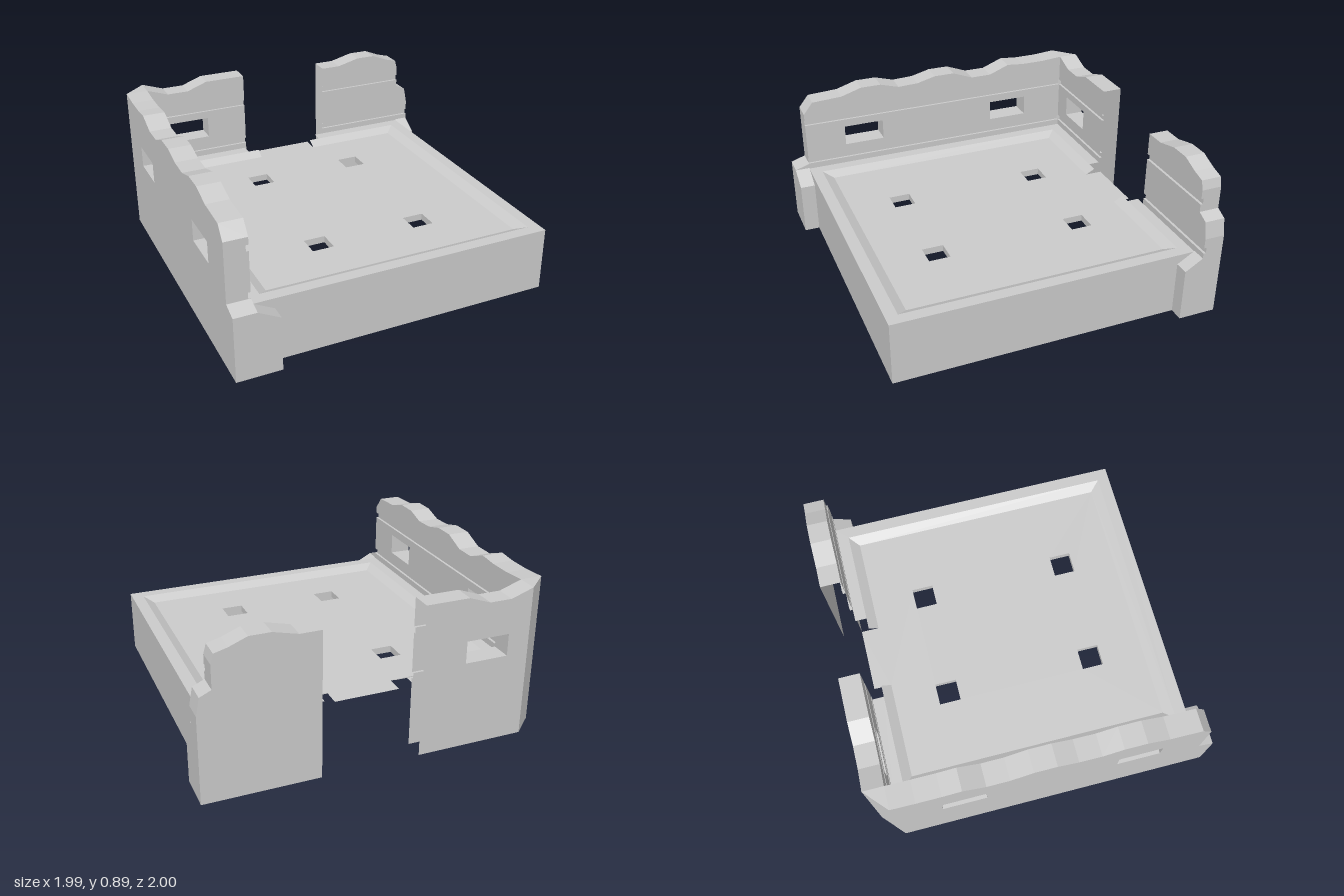
import * as THREE from 'three';
import { mergeGeometries } from 'three/addons/utils/BufferGeometryUtils.js';

const material = new THREE.MeshStandardMaterial({
  color: 0xcccccc, flatShading: true, side: THREE.DoubleSide,
});

// Each surface is drawn in (u, v, d) and placed by a map to [x, y, z].
const onBack = (u, v, d) => [u, v, -1 + d];
const onLeft = (u, v, d) => [-1 + d, v, u];
const onPlan = (u, v, d) => [u, d, v];

function place(positions, map) {
  const geo = new THREE.BufferGeometry();
  const out = [];
  for (let i = 0; i < positions.length; i += 3) {
    out.push(...map(positions[i], positions[i + 1], positions[i + 2]));
  }
  geo.setAttribute('position', new THREE.Float32BufferAttribute(out, 3));
  geo.computeVertexNormals();
  return geo;
}

// Flat outline with optional holes at depth d
function sheet(points, d, map, holes = []) {
  const toVec = (p) => new THREE.Vector2(p[0], p[1]);
  const shape = new THREE.Shape(points.map(toVec));
  for (const h of holes) shape.holes.push(new THREE.Path(h.map(toVec)));
  const pos = new THREE.ShapeGeometry(shape).toNonIndexed().attributes.position.array.slice();
  for (let i = 2; i < pos.length; i += 3) pos[i] = d;
  return place(pos, map);
}

// Strip of quads between path a at depth da and path b at depth db
function loft(a, da, b, db, map) {
  const pos = [];
  for (let i = 0; i + 1 < a.length; i++) {
    const p = [...a[i], da], q = [...a[i + 1], da];
    const r = [...b[i + 1], db], s = [...b[i], db];
    pos.push(...p, ...q, ...r, ...p, ...r, ...s);
  }
  return place(pos, map);
}
const ribbon = (path, d0, d1, map) => loft(path, d0, path, d1, map);
const closed = (path) => [...path, path[0]];
const rect = (u0, u1, v0, v1) => [[u0, v0], [u1, v0], [u1, v1], [u0, v1]];

// Part of an outline or segment between two heights
function clip(points, low, high) {
  for (const [level, sign] of [[low, 1], [high, -1]]) {
    const out = [];
    points.forEach((p, i) => {
      const q = points[(i + 1) % points.length];
      const a = (p[1] - level) * sign, b = (q[1] - level) * sign;
      if (a >= 0) out.push(p);
      if (a * b < 0) out.push([p[0] + (q[0] - p[0]) * a / (a - b), level]);
    });
    points = out;
  }
  return points;
}

function part(name, pieces) {
  const mesh = new THREE.Mesh(mergeGeometries(pieces), material);
  mesh.name = name;
  return mesh;
}

// Hollow ruined wall: outer face, grooved inner face, broken edge, window reveals.
// Below the floor the inner face only runs as far as u = reach.
function wall(name, edge, reach, windows, thick, map) {
  const start = edge[0][0], last = edge[edge.length - 1];
  const outline = [[start, 0], ...edge];
  if (last[1] > 0) outline.push([last[0], 0]);
  const groove = 0.015, foot = 0.385;
  const pieces = [
    sheet(outline, 0, map, windows),
    sheet(rect(start, reach, 0, foot), thick, map),
  ];
  const levels = [foot, 0.417, 0.452, 0.687, 0.722, 1];
  for (let i = 0; i < 5; i++) {
    const low = levels[i], high = levels[i + 1];
    const band = clip(outline, low, high);
    const depth = i % 2 ? thick - groove : thick;
    pieces.push(sheet(band, depth, map, i === 2 ? windows : []));
    if (i % 2) {
      const us = band.map((p) => p[0]);
      const u0 = Math.min(...us), u1 = Math.max(...us);
      for (const y of [low, high]) {
        pieces.push(ribbon([[u0, y], [u1, y]], depth, thick, map));
      }
    }
    // Broken edge, notched where the grooves meet it
    for (let k = 0; k + 1 < edge.length; k++) {
      const piece = clip([edge[k], edge[k + 1]], low, high);
      if (piece.length > 1) pieces.push(ribbon(piece.slice(0, 2), 0, depth, map));
    }
  }
  if (last[1] === 0) pieces.push(ribbon([[last[0], 0], [last[0], foot]], 0, thick, map));
  // Window sill and sides
  for (const w of windows) pieces.push(ribbon([w[3], w[0], w[1], w[2]], 0, thick, map));
  return part(name, pieces);
}

// Short chamfered stub at the free end of a wall
function stub(name, width, depth, map) {
  const profile = [[0, 0], [width, 0], [width, 0.32], [0, 0.385]];
  return part(name, [sheet(profile, 0, map), ribbon(profile.slice(1), 0, -depth, map)]);
}

export function createModel() {
  const group = new THREE.Group();

  // Ruined walls
  group.add(wall('sideWall', [
    [-0.88, 0.89], [-0.74, 0.88], [-0.6, 0.88], [-0.49, 0.89], [-0.36, 0.84], [-0.23, 0.84],
    [-0.1, 0.89], [0.03, 0.89], [0.15, 0.86], [0.28, 0.855], [0.4, 0.89], [0.53, 0.89],
    [0.66, 0.85], [0.85, 0.84], [0.91, 0.765], [0.91, 0.415], [1, 0.385], [1, 0],
  ], 0.91, [rect(0.4, 0.655, 0.51, 0.637), rect(-0.615, -0.36, 0.51, 0.637)], 0.13, onLeft));
  group.add(wall('backWallLong', [
    [-0.87, 0.89], [-0.74, 0.845], [-0.61, 0.845], [-0.485, 0.89], [-0.232, 0.89],
  ], -0.232, [rect(-0.742, -0.488, 0.51, 0.64)], 0.12, onBack));
  group.add(wall('backWallShort', [
    [0.337, 0.855], [0.46, 0.855], [0.6, 0.89], [0.72, 0.89], [0.82, 0.85], [0.895, 0.83],
    [0.91, 0.775], [0.91, 0.64], [0.975, 0.61], [0.994, 0.51], [0.994, 0],
  ], 0.91, [], 0.12, onBack));

  // Chamfered corner joining the two walls
  const cut = [[-1, -0.88], [-0.87, -1]];
  group.add(part('wallCorner', [
    ribbon(cut, 0, 0.89, onPlan),
    sheet([...cut, [-0.87, -0.88]], 0.89, onPlan),
  ]));

  // Wall-end stubs
  group.add(stub('frontStub', 0.126, 0.09, (u, v, d) => [-0.87 + u, v, 1 + d]));
  group.add(stub('rightStub', 0.105, 0.084, (u, v, d) => [0.994 + d, v, -0.88 + u]));

  // Outer skirt of the base
  group.add(part('baseSkirt', [
    ribbon([[-0.87, 0.91], [0.91, 0.91], [0.91, -0.88]], 0, 0.38, onPlan),
  ]));

  // Floor: raised rim, shallow sloped border, sunken middle with a doorway tongue
  const top = 0.38, low = 0.35;
  const outer = [[-0.17, -0.81], [-0.8, -0.81], [-0.8, 0.84], [0.84, 0.84], [0.84, -0.81], [0.207, -0.81]];
  const inner = [[-0.17, -0.753], [-0.743, -0.753], [-0.743, 0.78], [0.783, 0.78], [0.783, -0.753], [0.207, -0.753]];
  group.add(part('floorRim', [sheet([
    [-0.24, -0.88], [-0.87, -0.88], [-0.87, 0.91], [0.91, 0.91], [0.91, -0.88], [0.275, -0.88],
    [0.275, -0.81], [0.84, -0.81], [0.84, 0.84], [-0.8, 0.84], [-0.8, -0.81], [-0.24, -0.81],
  ], top, onPlan)]));
  group.add(part('floorBorder', [loft(outer, top, inner, low, onPlan)]));

  const holes = [];
  for (const x of [-0.362, 0.273]) {
    for (const z of [-0.495, 0.395]) holes.push(rect(x, x + 0.127, z, z + 0.127));
  }
  group.add(part('floor', [
    sheet([...inner, [0.207, -0.857], [-0.17, -0.857]], low, onPlan, holes),
  ]));
  group.add(part('holeCollars', holes.map((h) => ribbon(closed(h), low, low - 0.04, onPlan))));

  return group;
}
